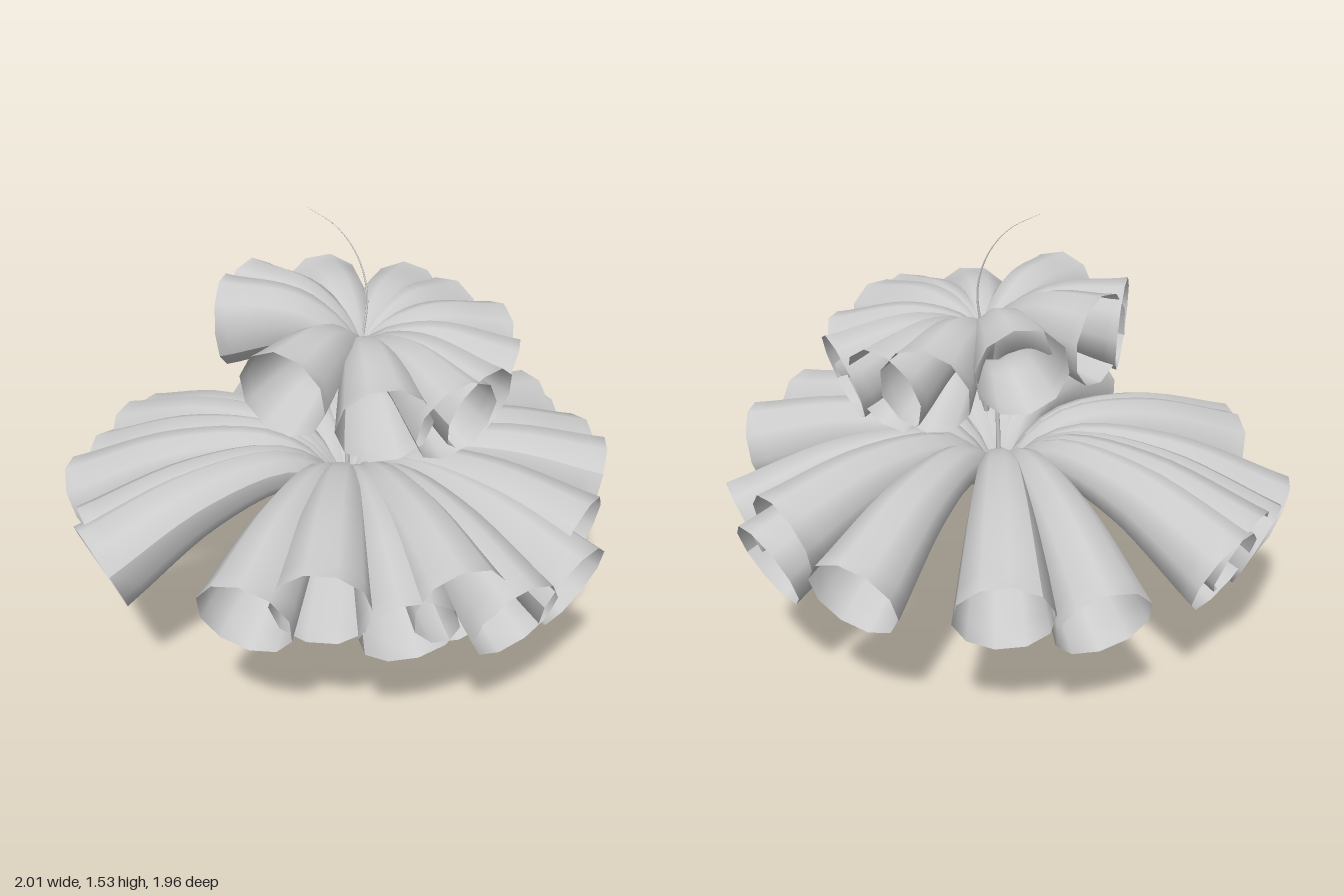
import * as THREE from 'three';

const material = new THREE.MeshStandardMaterial({ color: 0xcccccc, side: THREE.DoubleSide });
const V = (x, y, z) => new THREE.Vector3(x, y, z);

// Tube with a varying radius along a curve, open at both ends
function taperedTube(curve, radiusAt, segments, sides) {
  const geometry = new THREE.TubeGeometry(curve, segments, 1, sides, false);
  const pos = geometry.attributes.position;
  const p = V(0, 0, 0);
  for (let i = 0; i <= segments; i++) {
    const centre = curve.getPointAt(i / segments);
    const r = radiusAt(i / segments);
    for (let j = 0; j <= sides; j++) {
      const k = i * (sides + 1) + j;
      p.fromBufferAttribute(pos, k).sub(centre).multiplyScalar(r).add(centre);
      pos.setXYZ(k, p.x, p.y, p.z);
    }
  }
  geometry.computeVertexNormals();
  return geometry;
}

// One trumpet: climbs along the stem, arches over and flares out to its mouth.
// Profile rows: fraction of the reach, height, share of the mouth's height offset
function trumpet(name, profile, base, [x, y, z], meanY, mouth) {
  const points = profile.map(([f, h, share]) => V(
    base.x + (x - base.x) * f, h + (y - meanY) * share, base.z + (z - base.z) * f));
  points.push(V(x, y, z));
  const curve = new THREE.CatmullRomCurve3(points);
  const mesh = new THREE.Mesh(
    taperedTube(curve, t => 0.008 + (mouth - 0.008) * t, 18, 10), material);
  mesh.name = name;
  return mesh;
}

function whorl(name, flowerName, profile, base, meanY, radius, mouths) {
  const group = new THREE.Group();
  group.name = name;
  mouths.forEach((m, i) => group.add(
    trumpet(flowerName + (i + 1), profile, base, m, meanY, radius)));
  return group;
}

export function createModel() {
  const model = new THREE.Group();
  model.name = 'tieredFlower';

  // Stem, thinning into a curled tip
  const stemCurve = new THREE.CatmullRomCurve3([
    V(0.015, 0, 0.02), V(0.005, 0.25, 0.02), V(-0.002, 0.55, 0.015), V(0, 0.85, 0),
    V(0.002, 1.08, -0.06), V(-0.003, 1.25, -0.09), V(-0.05, 1.38, -0.085),
    V(-0.12, 1.47, -0.055), V(-0.21, 1.525, -0.01)]);
  const stem = new THREE.Mesh(
    taperedTube(stemCurve, t => 0.0125 * (1 - t) + 0.0005, 48, 8), material);
  stem.name = 'stem';
  model.add(stem);

  // Lower whorl: mouth centres x, y, z
  model.add(whorl('lowerWhorl', 'lowerTrumpet',
    [[0, 0.25, 0], [0.025, 0.43, 0], [0.1, 0.575, 0], [0.28, 0.67, 0.1], [0.62, 0.64, 0.45]],
    V(0, 0, 0.015), 0.5, 0.16, [
      [-0.25, 0.48, -0.88], [0.13, 0.47, -0.92], [0.11, 0.56, -0.87], [0.4, 0.49, -0.8],
      [0.69, 0.6, -0.51], [0.87, 0.59, -0.15], [0.95, 0.51, -0.01], [0.92, 0.5, 0.25],
      [0.82, 0.58, 0.4], [0.72, 0.5, 0.52], [0.53, 0.59, 0.71], [0.34, 0.54, 0.85],
      [-0.3, 0.48, 0.9], [-0.39, 0.49, 0.83], [-0.78, 0.43, 0.58], [-0.87, 0.43, 0.38],
      [-0.92, 0.48, 0.21], [-0.94, 0.46, 0.09], [-0.84, 0.43, -0.39], [-0.65, 0.47, -0.63],
    ]));

  // Upper whorl, leaning slightly down to the right and back
  model.add(whorl('upperWhorl', 'upperTrumpet',
    [[0, 0.79, 0], [0.03, 0.94, 0], [0.14, 1.06, 0.1], [0.5, 1.11, 0.5]],
    V(0.01, 0, -0.035), 1.05, 0.157, [
      [-0.38, 1.09, -0.27], [-0.19, 1.04, -0.51], [-0.03, 1.01, -0.54], [0.21, 0.99, -0.51],
      [0.42, 0.97, -0.31], [0.54, 1.0, -0.03], [0.54, 1.0, 0.09], [0.41, 1.01, 0.29],
      [0.13, 1.09, 0.46], [-0.38, 1.14, 0.22], [-0.44, 1.14, 0.04],
    ]));

  return model;
}
